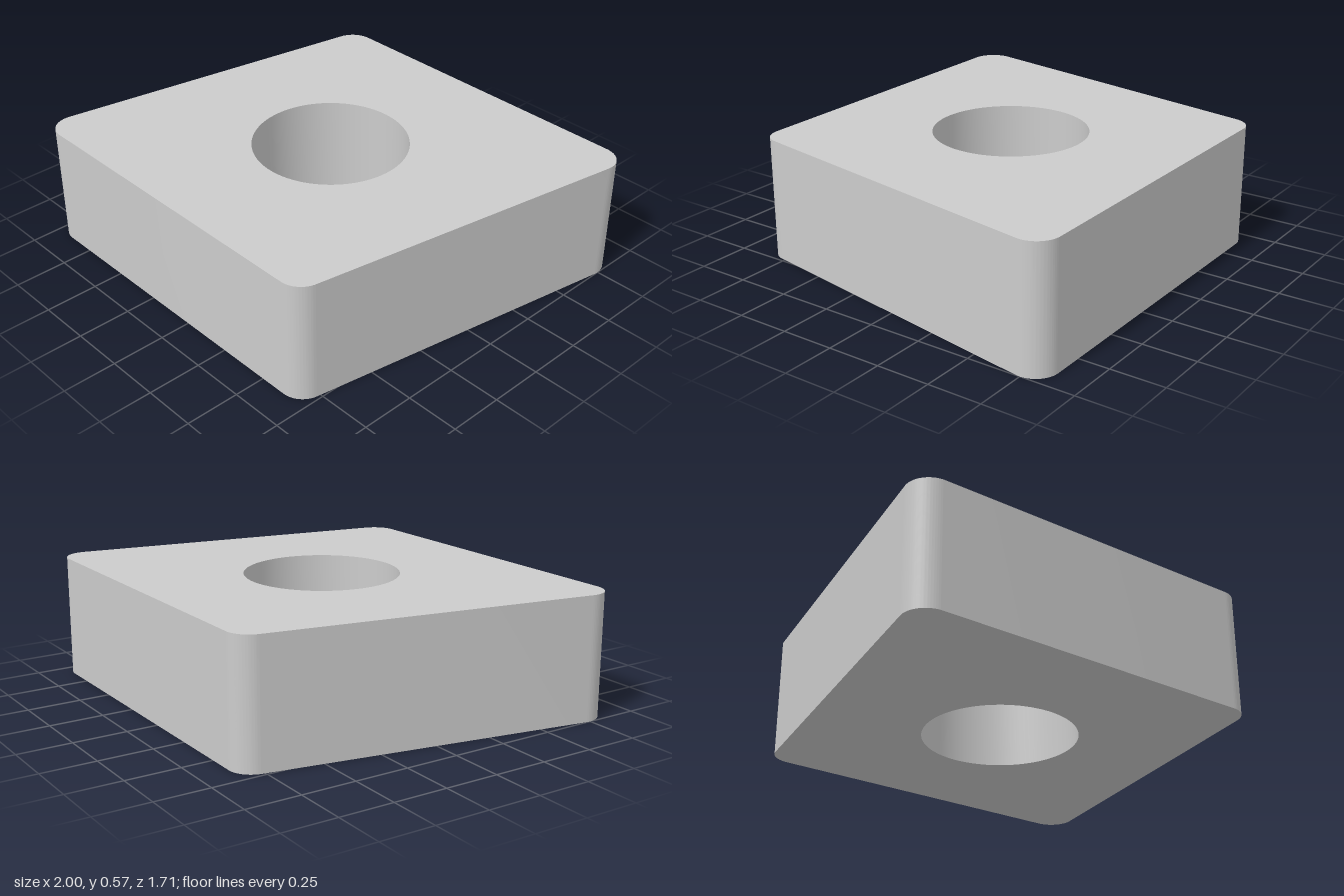
import * as THREE from 'three';
import { toCreasedNormals } from 'three/addons/utils/BufferGeometryUtils.js';

const HALF_WIDTH = 0.8564;   // centre to each flat side
const CORNER = 0.108;        // corner radius
const HEIGHT = 0.573;
const HOLE = 0.357;
const LEAN = THREE.MathUtils.degToRad(10);

// Rhombus with rounded corners and a round hole
function insertOutline() {
  const k = HALF_WIDTH - CORNER;
  const half = k / Math.cos(LEAN);
  const shift = k * Math.tan(LEAN);
  const q = Math.PI / 2;
  const corners = [
    [half + shift, k, -LEAN, q],
    [-half + shift, k, q, 2 * q - LEAN],
    [-half - shift, -k, 2 * q - LEAN, 3 * q],
    [half - shift, -k, 3 * q, 4 * q - LEAN],
  ];
  const shape = new THREE.Shape();
  for (const [x, y, start, end] of corners) shape.absarc(x, y, CORNER, start, end, false);
  shape.closePath();
  shape.holes.push(new THREE.Path().absarc(0, 0, HOLE, 0, Math.PI * 2, true));
  return shape;
}

export function createModel() {
  const group = new THREE.Group();
  group.name = 'cuttingInsert';

  // Flat plate, extruded upward from the ground
  const geometry = new THREE.ExtrudeGeometry(insertOutline(), {
    depth: HEIGHT, bevelEnabled: false, curveSegments: 48,
  });
  geometry.rotateX(-Math.PI / 2);
  const plate = new THREE.Mesh(
    toCreasedNormals(geometry, 0.5),
    new THREE.MeshStandardMaterial({ color: 0xcccccc }),
  );
  plate.name = 'rhombicPlate';
  group.add(plate);
  return group;
}
